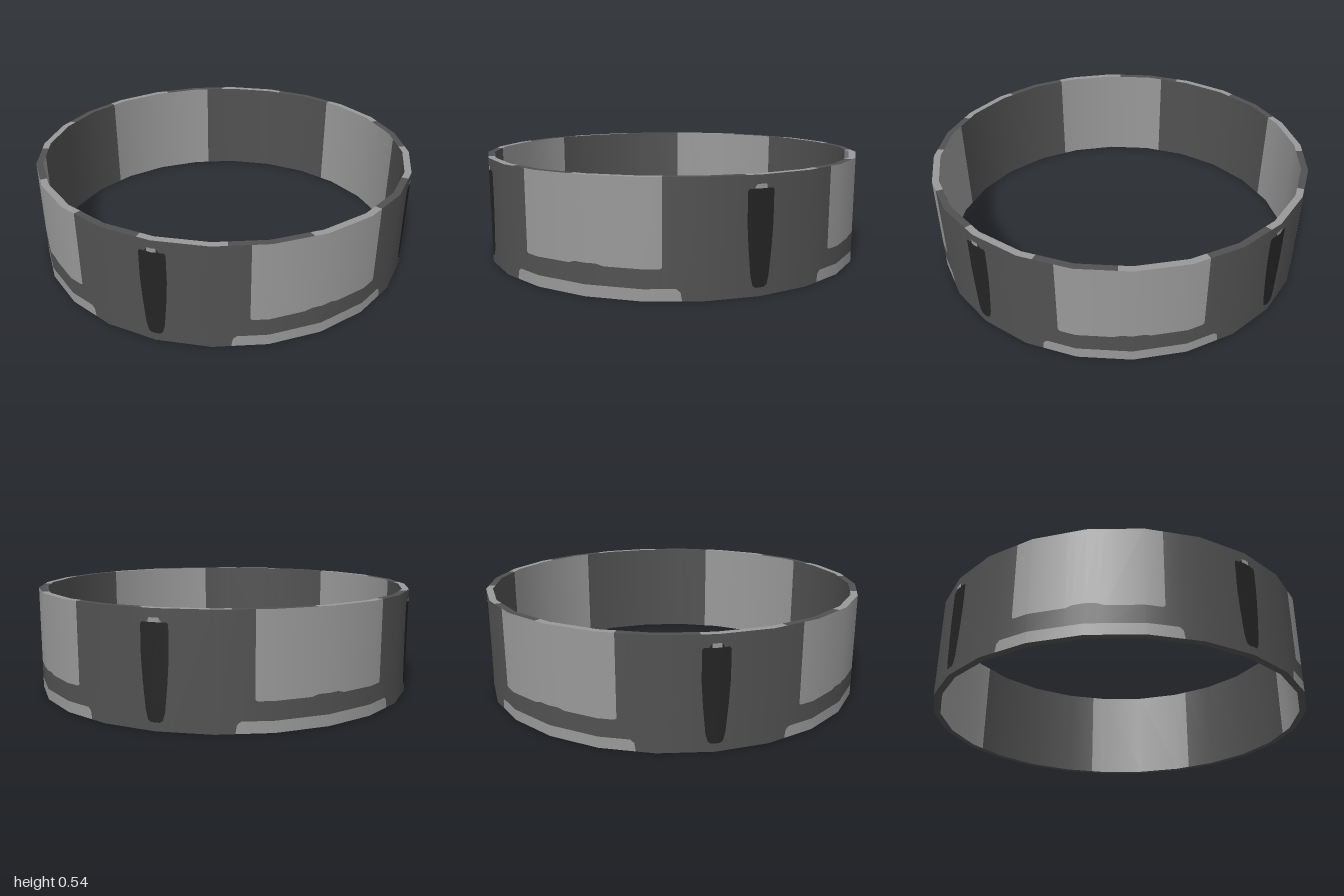
import * as THREE from 'three';

const SIDES = 24, STEP = 360 / SIDES, OUTER = 1, INNER = 0.965, HEIGHT = 0.54;
const rad = THREE.MathUtils.degToRad;

// how far a flat-sided ring dips in from its corners at a given angle
function dip(a) {
  const local = ((a % STEP) + STEP) % STEP - STEP / 2;
  return Math.cos(rad(STEP / 2)) / Math.cos(rad(local));
}

// adds a column wherever a strip crosses a corner of the ring
function splitAtCorners(cols) {
  const out = [cols[0]];
  for (let i = 1; i < cols.length; i++) {
    const p = cols[i - 1], q = cols[i];
    for (let a = (Math.floor(p[0] / STEP) + 1) * STEP; a < q[0]; a += STEP) {
      const t = (a - p[0]) / (q[0] - p[0]);
      out.push([a, p[1] + (q[1] - p[1]) * t, p[2] + (q[2] - p[2]) * t]);
    }
    out.push(q);
  }
  return out;
}

// strip of columns [angle, low, high]; place() gives [radius, y], normal() the smooth normal
function strip(cols, place, normal, flip) {
  const pos = [], nor = [], index = [];
  splitAtCorners(cols).forEach(([a, lo, hi], i) => {
    const s = Math.sin(rad(a)), c = Math.cos(rad(a));
    for (const v of [lo, hi]) {
      const [r, y] = place(v);
      const k = r * dip(a);
      pos.push(k * s, y, k * c);
      nor.push(...normal(s, c));
    }
    if (i > 0) {
      const b = 2 * i - 2;
      index.push(...(flip ? [b, b + 3, b + 2, b, b + 1, b + 3] : [b, b + 2, b + 3, b, b + 3, b + 1]));
    }
  });
  const g = new THREE.BufferGeometry();
  g.setAttribute('position', new THREE.Float32BufferAttribute(pos, 3));
  g.setAttribute('normal', new THREE.Float32BufferAttribute(nor, 3));
  g.setIndex(index);
  return g;
}

const outerWall = (cols) => strip(cols, (y) => [OUTER, y], (s, c) => [s, 0, c], false);
const innerWall = (a0, a1) =>
  strip([[a0, 0, HEIGHT], [a1, 0, HEIGHT]], (y) => [INNER, y], (s, c) => [-s, 0, -c], true);
const rim = (a0, a1, y) =>
  strip([[a0, INNER, OUTER], [a1, INNER, OUTER]], (r) => [r, y], () => [0, y > 0 ? 1 : -1, 0], y > 0);

const mirror = (cols, centre) => cols.map(([a, lo, hi]) => [2 * centre - a, lo, hi]).reverse();
const symmetric = (cols, centre) => [...cols, ...mirror(cols, centre)];

export function createModel() {
  const model = new THREE.Group();
  model.name = 'ring';
  const light = new THREE.MeshStandardMaterial({ name: 'light grey', color: 0x999999 });
  const dark = new THREE.MeshStandardMaterial({ name: 'dark grey', color: 0x515151 });
  const black = new THREE.MeshStandardMaterial({ name: 'near black', color: 0x242424 });

  // outlines on one quarter of the outer wall
  const slot = symmetric([
    [-3.7, 0.33, 0.47], [-3.3, 0.22, 0.48], [-2.6, 0.09, 0.48], [-2, 0.05, 0.48], [-1.25, 0.04, 0.48],
  ], 0);
  const foot = symmetric([[20.2, 0, 0.01], [20.5, 0, 0.04], [21.5, 0, 0.055]], 45);
  const panel = symmetric([
    [25, 0.15, HEIGHT], [25.6, 0.143, HEIGHT], [40, 0.143, HEIGHT], [42, 0.153, HEIGHT],
  ], 45);
  const side = [
    [3.7, 0, HEIGHT], [20.2, 0, HEIGHT], [20.2, 0.01, HEIGHT], [20.5, 0.04, HEIGHT],
    [21.5, 0.055, HEIGHT], [25, 0.055, HEIGHT],
  ];
  const aboveSlot = slot.map(([a, , hi]) => [a, Math.abs(a) < 1.3 ? 0.5 : hi, HEIGHT]);

  for (let q = 0; q < 4; q++) {
    const quarter = new THREE.Group();
    quarter.name = 'ringQuarter' + (q + 1);
    quarter.rotation.y = q * Math.PI / 2;
    const add = (name, geometry, material) => {
      const mesh = new THREE.Mesh(geometry, material);
      mesh.name = name;
      quarter.add(mesh);
    };

    // outer wall
    add('slot', outerWall(slot), black);
    add('slotDot', outerWall([[-1.25, 0.48, 0.5], [1.25, 0.48, 0.5]]), light);
    add('wallAboveSlot', outerWall(aboveSlot), dark);
    add('wallBelowSlot', outerWall(slot.map(([a, lo]) => [a, 0, lo])), dark);
    add('wallSideA', outerWall(side), dark);
    add('wallSideB', outerWall(mirror(side, 45)), dark);
    add('panel', outerWall(panel), light);
    add('wallBelowPanel', outerWall(panel.map(([a, lo]) => [a, 0.055, lo])), dark);
    add('footStrip', outerWall(foot), light);

    // inner wall
    add('innerPanel', innerWall(25, 65), light);
    add('innerWall', innerWall(-25, 25), dark);

    // top rim in alternating segments, and bottom rim
    add('topRimLightA', rim(-4, 19.2, HEIGHT), light);
    add('topRimDarkA', rim(19.2, 41.2, HEIGHT), dark);
    add('topRimLightB', rim(41.2, 65, HEIGHT), light);
    add('topRimDarkB', rim(65, 86, HEIGHT), dark);
    add('bottomRim', rim(0, 90, 0), dark);
    model.add(quarter);
  }
  return model;
}
